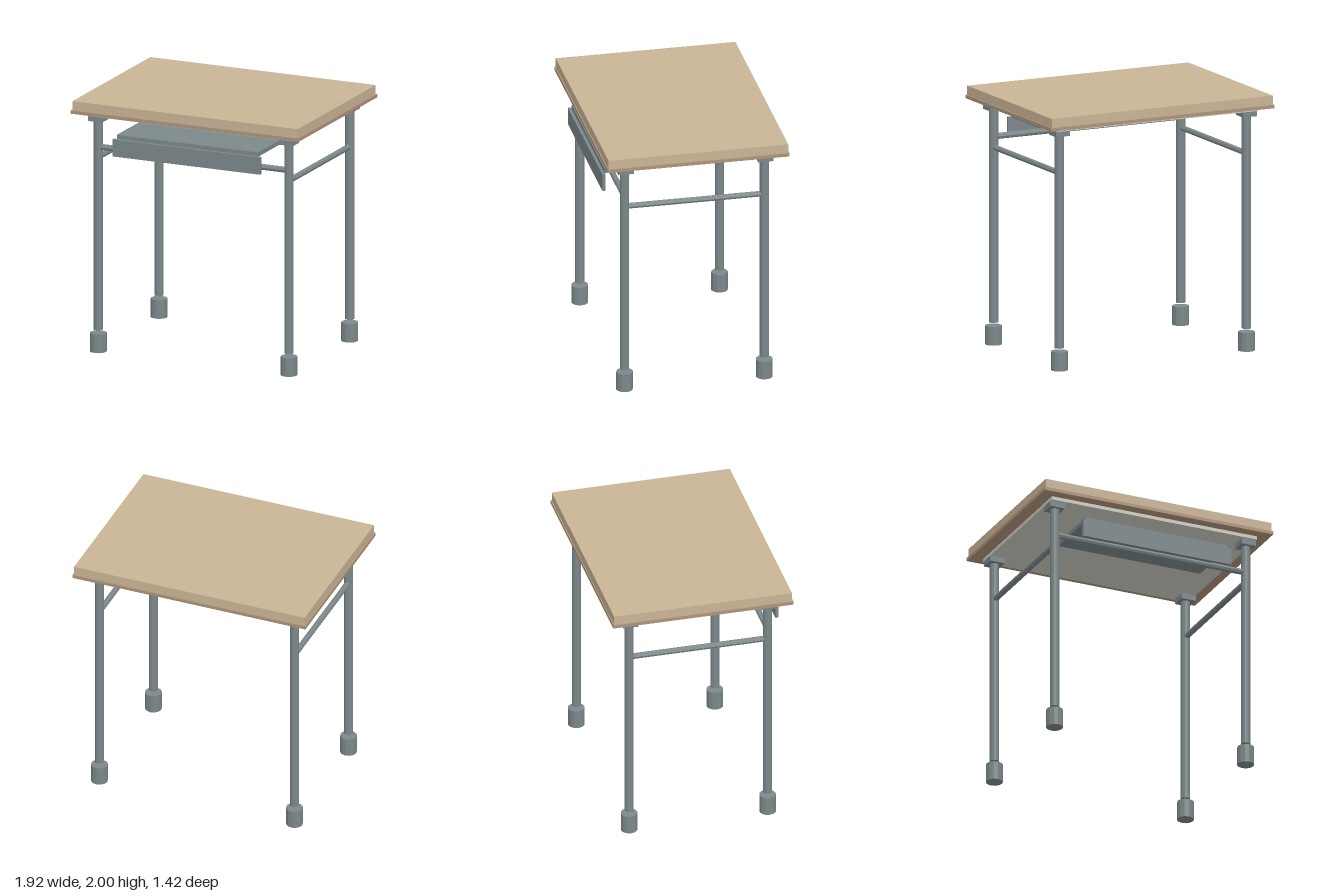
import * as THREE from 'three';

const paint = (name, color) => {
  const m = new THREE.MeshStandardMaterial({ color, flatShading: true });
  m.name = name;
  return m;
};

export function createModel() {
  const desk = new THREE.Group();
  desk.name = 'desk';
  const wood = paint('wood', 0xc9b596);
  const edging = paint('darkerWood', 0xb0957a);
  const board = paint('paleBoard', 0xcecdc5);
  const steel = paint('steel', 0x7c888a);

  const add = (name, geometry, material, x, y, z) => {
    const mesh = new THREE.Mesh(geometry, material);
    mesh.name = name;
    mesh.position.set(x, y, z);
    desk.add(mesh);
    return mesh;
  };
  // box given by its limits on each axis
  const box = (name, material, [x0, x1], [y0, y1], [z0, z1]) =>
    add(name, new THREE.BoxGeometry(x1 - x0, y1 - y0, z1 - z0), material,
      (x0 + x1) / 2, (y0 + y1) / 2, (z0 + z1) / 2);
  const post = (name, radius, y0, y1, x, z) =>
    add(name, new THREE.CylinderGeometry(radius, radius, y1 - y0, 12), steel, x, (y0 + y1) / 2, z);

  // top: slab, projecting lip and backing board
  box('tabletop', wood, [-0.95, 0.95], [1.928, 2], [-0.702, 0.702]);
  box('tabletopLip', edging, [-0.96, 0.96], [1.902, 1.928], [-0.711, 0.711]);
  box('backingBoard', board, [-0.863, 0.863], [1.875, 1.902], [-0.627, 0.627]);

  // four legs with mounting plates and feet
  const lx = 0.804, lz = 0.546;
  for (const sx of [-1, 1]) {
    for (const sz of [-1, 1]) {
      const x = sx * lx, z = sz * lz;
      box('mountingPlate', steel, [x - 0.06, x + 0.06], [1.83, 1.875], [z - 0.06, z + 0.06]);
      post('leg', 0.036, 0.172, 1.83, x, z);
      post('foot', 0.065, 0, 0.147, x, z);
    }
    // side rail
    add('sideRail', new THREE.CylinderGeometry(0.023, 0.023, 1.03, 8), steel, sx * lx, 1.537, 0)
      .rotation.x = Math.PI / 2;
  }

  // front rail
  add('frontRail', new THREE.CylinderGeometry(0.024, 0.024, 1.55, 8), steel, 0, 1.62, lz)
    .rotation.z = Math.PI / 2;

  // tray and its front panel
  box('tray', steel, [-0.597, 0.597], [1.73, 1.763], [0.165, 0.655]);
  box('trayFront', steel, [-0.622, 0.622], [1.595, 1.731], [0.655, 0.679]);

  return desk;
}
